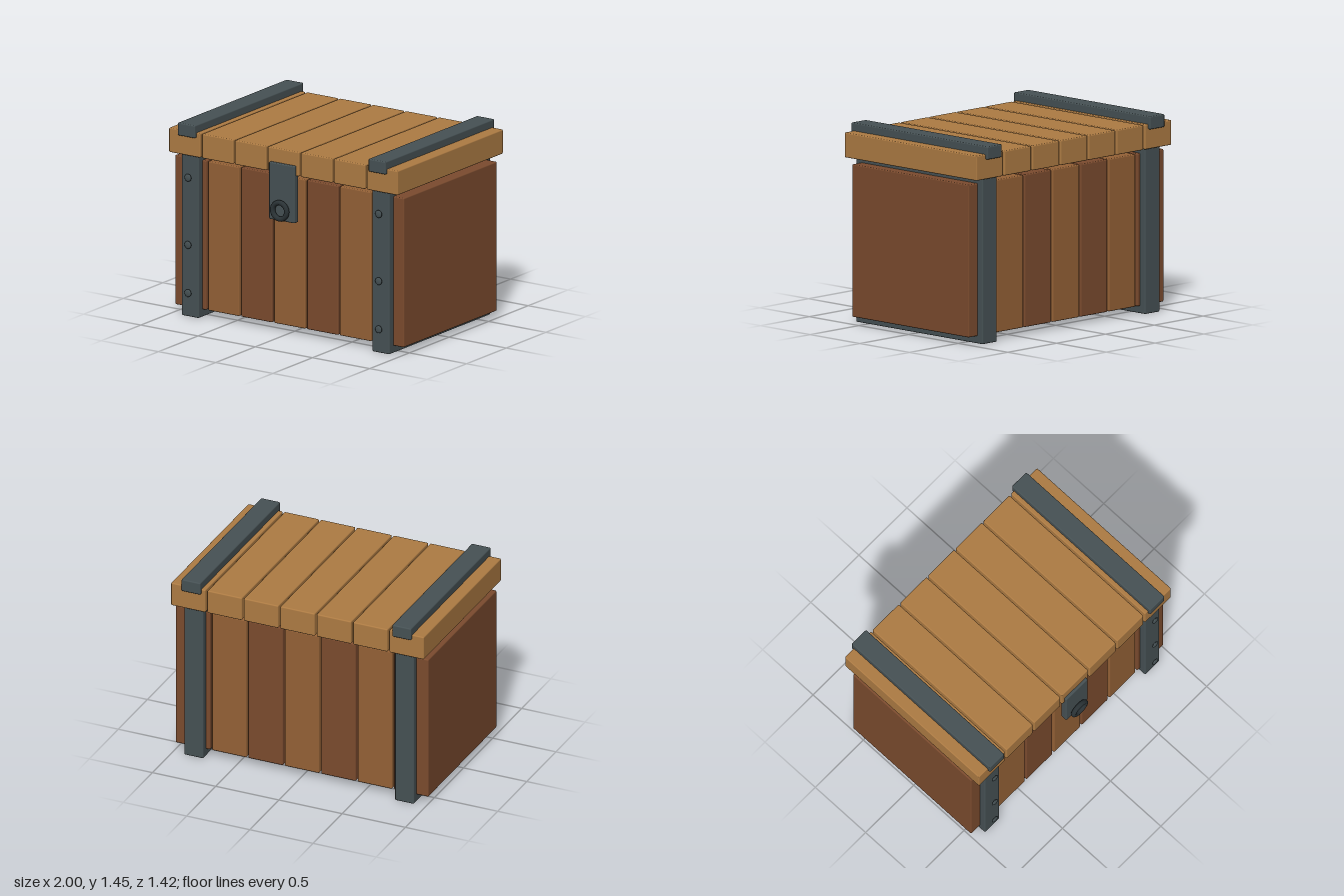
import * as THREE from 'three';
import { RoundedBoxGeometry } from 'three/addons/geometries/RoundedBoxGeometry.js';

const paint = (color) => new THREE.MeshStandardMaterial({ color });

export function createModel() {
  const chest = new THREE.Group();
  chest.name = 'chest';
  const darkWood = paint(0x7b4b2e);
  const lightWood = paint(0x946136);
  const lidWood = paint(0xad7b43);
  const iron = paint(0x465154);
  const darkIron = paint(0x2a3235);

  const add = (name, geometry, material, x = 0, y = 0, z = 0) => {
    const mesh = new THREE.Mesh(geometry, material);
    mesh.name = name;
    mesh.position.set(x, y, z);
    chest.add(mesh);
    return mesh;
  };

  // Softly bevelled box given by its centre x, width and y / z ranges
  const slab = (name, material, x, width, [y0, y1], [z0, z1]) =>
    add(name, new RoundedBoxGeometry(width, y1 - y0, z1 - z0, 2, 0.009),
      material, x, (y0 + y1) / 2, (z0 + z1) / 2);

  // Seven body planks in alternating wood, with a lid plank over each
  for (let i = -3; i <= 3; i++) {
    const x = i * 0.2878;
    slab('bodyPlank', i % 2 ? darkWood : lightWood, x, 0.273, [0.055, 1.17], [-0.605, 0.57]);
    slab('lidPlank', lidWood, x, 0.273, [1.21, 1.392], [-0.685, 0.648]);
  }

  // Low disc with a chamfered rim
  const rivetShape = new THREE.LatheGeometry(
    [[0, 0], [0.021, 0], [0.028, 0.005], [0.028, 0.011], [0.019, 0.017], [0, 0.017]]
      .map(([r, y]) => new THREE.Vector2(r, y)), 20);
  rivetShape.rotateX(Math.PI / 2);

  // Iron bands around the body and across the lid, with rivets in front
  for (const side of [-1, 1]) {
    const x = side * 0.833;
    slab('bodyBand', iron, x, 0.15, [0, 1.21], [-0.655, 0.62]);
    slab('lidBand', iron, x, 0.15, [1.355, 1.45], [-0.705, 0.67]);
    for (const y of [0.183, 0.543, 1.045]) add('rivet', rivetShape, iron, x, y, 0.639);
  }

  // Latch plate with its ring
  slab('latchPlate', iron, 0, 0.225, [0.86, 1.287], [0.615, 0.668]);
  add('latchRing', new THREE.TorusGeometry(0.061, 0.019, 12, 32), darkIron, 0, 0.943, 0.692);

  return chest;
}
